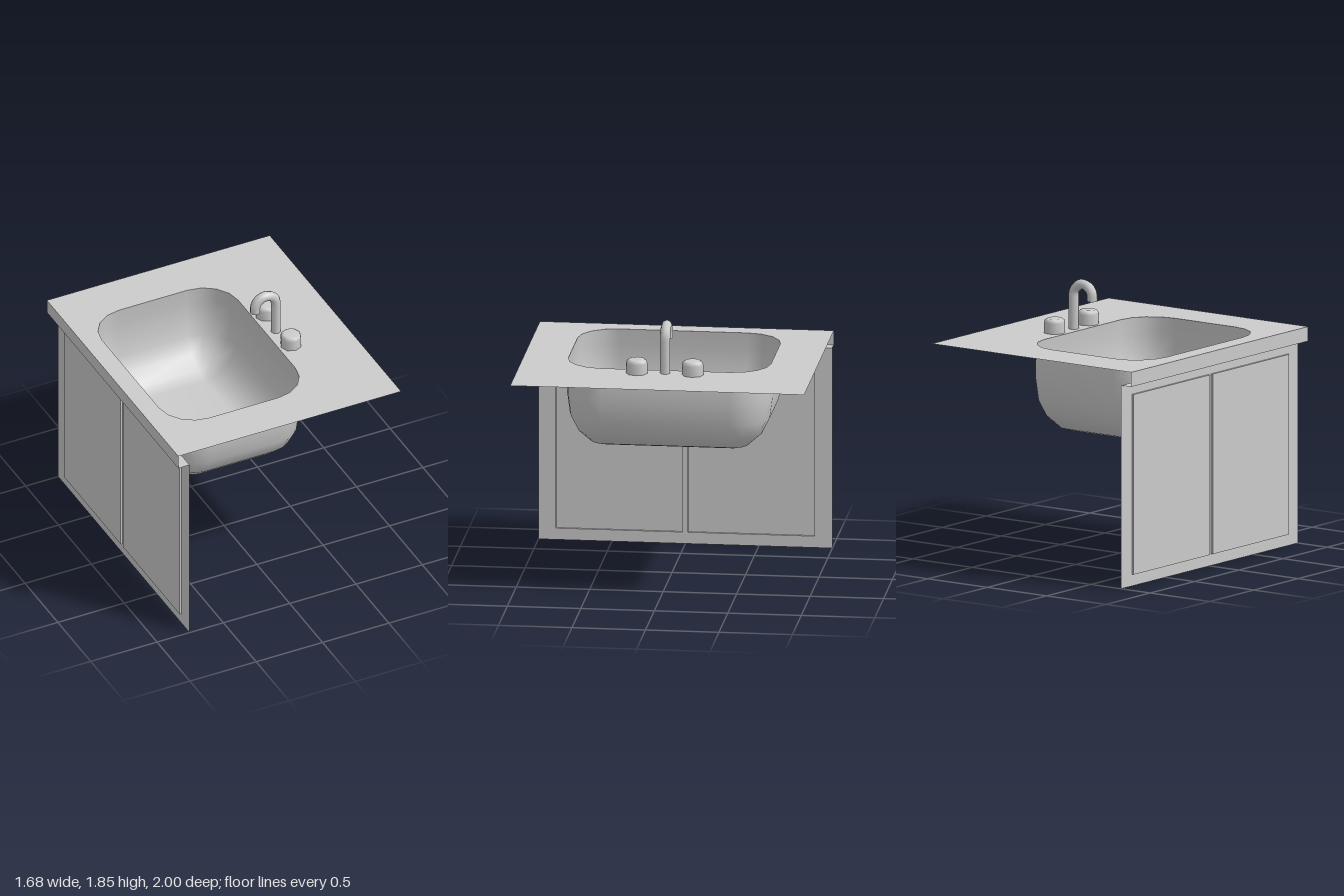
import * as THREE from 'three';
import { mergeVertices } from 'three/addons/utils/BufferGeometryUtils.js';

const TOP = 1.5, LIP = 1.4, HALF_X = 0.84, PANEL_X = -0.755;
const BASIN = { x: -0.195, z: 0.007, coreX: 0.26, coreZ: 0.435 };

const material = new THREE.MeshStandardMaterial({ color: 0xcccccc, side: THREE.DoubleSide });

function add(group, name, geometry, x = 0, y = 0, z = 0) {
  const mesh = new THREE.Mesh(geometry, material);
  mesh.name = name;
  mesh.position.set(x, y, z);
  group.add(mesh);
  return mesh;
}

function rectangle(Type, x0, y0, x1, y1) {
  return new Type([[x0, y0], [x1, y0], [x1, y1], [x0, y1]].map(p => new THREE.Vector2(...p)));
}

// Rounded rectangle in plan: core rectangle grown by r, four segments per corner
function basinOutline(r) {
  const points = [];
  const signs = [[1, 1], [-1, 1], [-1, -1], [1, -1]];
  signs.forEach(([sx, sz], corner) => {
    for (let i = 0; i <= 4; i++) {
      const a = (corner + i / 4) * Math.PI / 2;
      points.push([
        BASIN.x + sx * BASIN.coreX + r * Math.cos(a),
        BASIN.z + sz * BASIN.coreZ + r * Math.sin(a),
      ]);
    }
  });
  return points;
}

// Bowl lofted through outlines from rim to floor, closed by a fan
function basinGeometry() {
  const profile = [[0.254, TOP], [0.265, 1.385], [0.265, 1.27], [0.245, 1.12], [0.19, 1.01], [0.1, 0.93], [0, 0.9]];
  const positions = [], index = [];
  for (const [r, y] of profile) {
    for (const [x, z] of basinOutline(r)) positions.push(x, y, z);
  }
  const n = 20, last = (profile.length - 1) * n, centre = profile.length * n;
  positions.push(BASIN.x, 0.9, BASIN.z);
  for (let j = 0; j < n; j++) {
    const k = (j + 1) % n;
    for (let i = 0; i < profile.length - 1; i++) {
      const a = i * n + j, b = i * n + k;
      index.push(a, b, a + n, b, b + n, a + n);
    }
    index.push(last + j, last + k, centre);
  }
  const geometry = new THREE.BufferGeometry();
  geometry.setAttribute('position', new THREE.Float32BufferAttribute(positions, 3));
  geometry.setIndex(index);
  const welded = mergeVertices(geometry, 1e-4);
  welded.computeVertexNormals();
  return welded;
}

export function createModel() {
  const model = new THREE.Group();
  model.name = 'sinkCabinet';

  // Countertop sheet with the basin opening
  const counter = rectangle(THREE.Shape, -HALF_X, -1, HALF_X, 1);
  counter.holes.push(new THREE.Path(basinOutline(0.254).map(([x, z]) => new THREE.Vector2(x, -z))));
  add(model, 'countertop', new THREE.ShapeGeometry(counter).rotateX(-Math.PI / 2), 0, TOP, 0);

  // Lip folded down and back to the cabinet face
  add(model, 'counterLip', new THREE.PlaneGeometry(2, TOP - LIP).rotateY(-Math.PI / 2), -HALF_X, (TOP + LIP) / 2, 0);
  const returnDepth = PANEL_X + HALF_X;
  add(model, 'counterLipReturn', new THREE.PlaneGeometry(returnDepth, 2).rotateX(Math.PI / 2),
    -HALF_X + returnDepth / 2, LIP, 0);

  add(model, 'basin', basinGeometry());

  // Cabinet face with raised doors, hollow from behind
  const face = rectangle(THREE.Shape, -1, 0, 1, LIP);
  for (const side of [-1, 1]) {
    face.holes.push(rectangle(THREE.Path, side * 0.018, 0.08, side * 0.88, 1.32));
    const door = new THREE.BoxGeometry(0.015, 1.24, 0.862);
    door.setIndex(Array.from(door.index.array).slice(6)); // drop the inner face
    add(model, 'door', door, PANEL_X - 0.0075, 0.7, side * 0.449);
  }
  add(model, 'cabinetFace', new THREE.ShapeGeometry(face).rotateY(-Math.PI / 2), PANEL_X, 0, 0);

  // Tap handles
  const handleProfile = [[0, 0], [0.073, 0], [0.073, 0], [0.073, 0.07], [0.067, 0.09], [0.052, 0.1], [0, 0.1]]
    .map(p => new THREE.Vector2(...p));
  for (const z of [-0.19, 0.19]) {
    add(model, 'tapHandle', new THREE.LatheGeometry(handleProfile, 8), 0.41, TOP, z);
  }

  // Hooked spout
  const v = (x, y) => new THREE.Vector3(x, y, 0);
  const radius = 0.078, cx = 0.312, cy = 1.735;
  const path = new THREE.CurvePath();
  path.add(new THREE.LineCurve3(v(cx + radius, TOP), v(cx + radius, cy)));
  const arc = [];
  for (let i = 0; i <= 12; i++) {
    const a = i / 12 * Math.PI;
    arc.push(v(cx + radius * Math.cos(a), cy + radius * Math.sin(a)));
  }
  path.add(new THREE.CatmullRomCurve3(arc));
  path.add(new THREE.LineCurve3(v(cx - radius, cy), v(cx - radius, 1.705)));
  const spout = new THREE.Group();
  spout.name = 'spout';
  add(spout, 'spoutTube', new THREE.TubeGeometry(path, 36, 0.035, 8));
  const cap = new THREE.CircleGeometry(0.035, 8).rotateX(Math.PI / 2);
  add(spout, 'spoutEnd', cap, cx - radius, 1.705, 0);
  model.add(spout);

  return model;
}
